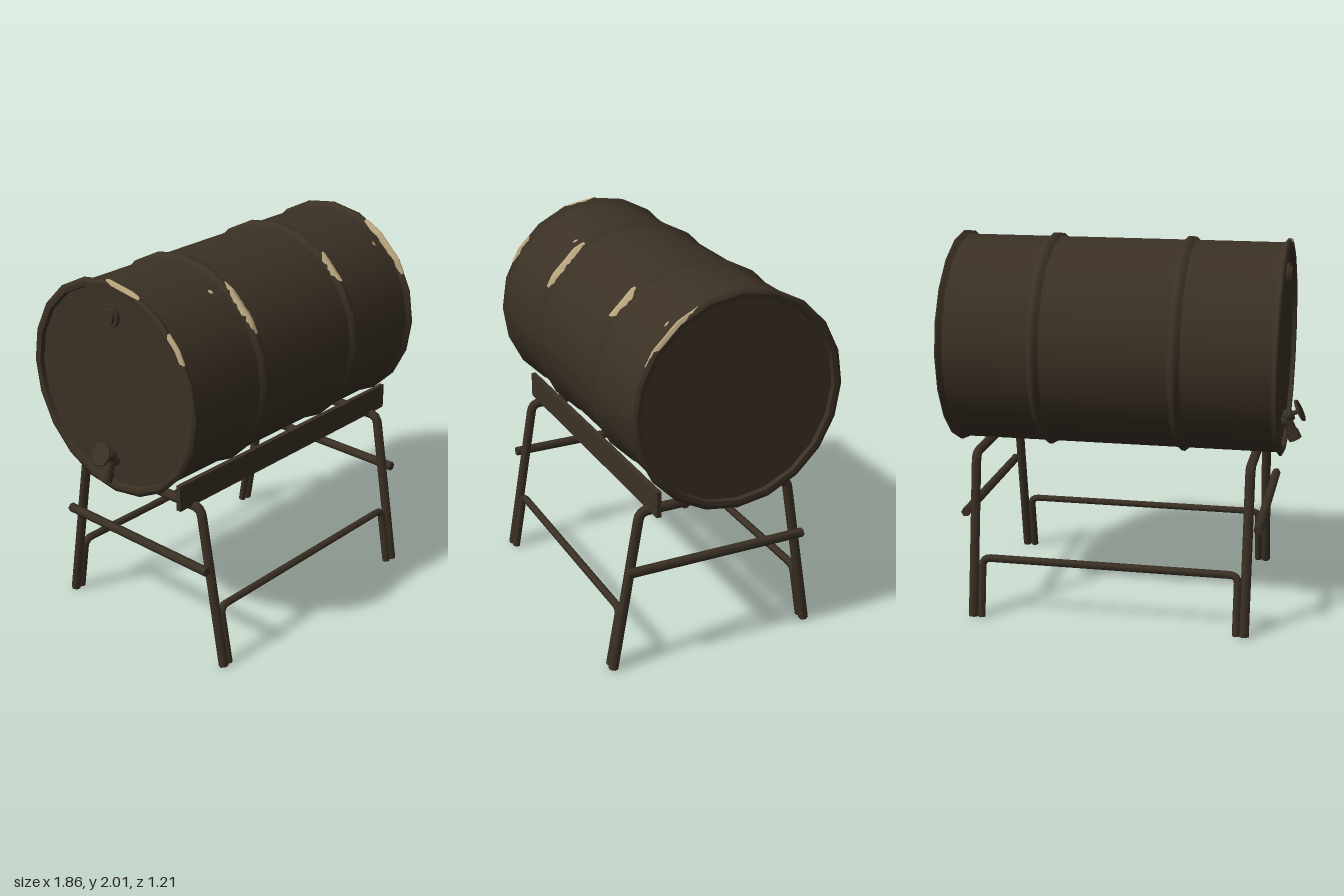
import * as THREE from 'three';

const V = (x, y, z) => new THREE.Vector3(x, y, z);
const AXIS_Y = 1.433, AXIS_Z = -0.03, SIDES = 20;
const BODY = 0.553, RIB = 0.572;

// Outer profile of the drum as [x, radius]
const rib = (x) => [[x - 0.034, BODY], [x - 0.028, BODY + 0.002], [x - 0.009, RIB], [x + 0.009, RIB], [x + 0.028, BODY + 0.002], [x + 0.034, BODY]];
const PROFILE = [
  [-0.833, 0.552], [-0.825, RIB], [-0.815, RIB], [-0.798, BODY], [-0.79, BODY],
  ...rib(-0.308), ...rib(0.415),
  [0.885, BODY], [0.893, BODY], [0.91, RIB], [0.92, RIB], [0.927, 0.552],
];

function radiusAt(x) {
  for (let i = 1; i < PROFILE.length; i++) {
    const [x0, r0] = PROFILE[i - 1], [x1, r1] = PROFILE[i];
    if (x <= x1) return r0 + (r1 - r0) * Math.max(0, (x - x0) / (x1 - x0));
  }
  return PROFILE[PROFILE.length - 1][1];
}

export function createModel() {
  const model = new THREE.Group();
  const steel = new THREE.MeshStandardMaterial({ color: 0x3b3125 });
  steel.name = 'darkBrownSteel';
  const bare = new THREE.MeshStandardMaterial({ color: 0xb8a57e, side: THREE.DoubleSide });
  bare.name = 'tanChippedPaint';

  const add = (name, geo, mat = steel, parent = model) => {
    const mesh = new THREE.Mesh(geo, mat);
    mesh.name = name;
    parent.add(mesh);
    return mesh;
  };

  // Cylinder between two points
  const rod = (name, a, b, r0, r1, sides, parent) => {
    const mesh = add(name, new THREE.CylinderGeometry(r1, r0, a.distanceTo(b), sides), steel, parent);
    mesh.position.copy(a).add(b).multiplyScalar(0.5);
    mesh.quaternion.setFromUnitVectors(V(0, 1, 0), b.clone().sub(a).normalize());
    return mesh;
  };

  // Bent tube with rounded corners and closed ends
  const bentTube = (name, pts, radius, bend) => {
    const path = new THREE.CurvePath();
    let from = pts[0];
    for (let i = 1; i < pts.length - 1; i++) {
      const p = pts[i];
      const a = p.clone().add(pts[i - 1].clone().sub(p).setLength(bend));
      const b = p.clone().add(pts[i + 1].clone().sub(p).setLength(bend));
      path.add(new THREE.LineCurve3(from, a));
      path.add(new THREE.QuadraticBezierCurve3(a, p, b));
      from = b;
    }
    const last = pts[pts.length - 1];
    path.add(new THREE.LineCurve3(from, last));
    const group = new THREE.Group();
    group.name = name;
    model.add(group);
    add(name + 'Tube', new THREE.TubeGeometry(path, 120, radius, 6, false), steel, group);
    for (const [end, next] of [[pts[0], pts[1]], [last, pts[pts.length - 2]]]) {
      const cap = add(name + 'End', new THREE.CircleGeometry(radius, 6), steel, group);
      cap.position.copy(end);
      cap.quaternion.setFromUnitVectors(V(0, 0, 1), end.clone().sub(next).normalize());
    }
  };

  // Drum shell, rolled rims and recessed ends
  const drum = new THREE.Group();
  drum.name = 'drum';
  drum.position.set(0, AXIS_Y, AXIS_Z);
  model.add(drum);
  const lathe = (name, pts) => {
    const geo = new THREE.LatheGeometry(pts.map(([x, r]) => new THREE.Vector2(r, x)), SIDES);
    add(name, geo.rotateZ(-Math.PI / 2), steel, drum);
  };
  lathe('drumShell', PROFILE);
  lathe('rightRimFace', [[-0.831, 0.53], [-0.833, 0.552]]);
  lathe('rightRimLip', [[-0.808, 0.525], [-0.831, 0.53]]);
  lathe('rightEnd', [[-0.808, 0], [-0.808, 0.525]]);
  lathe('leftRimFace', [[0.927, 0.552], [0.925, 0.53]]);
  lathe('leftRimLip', [[0.925, 0.53], [0.902, 0.525]]);
  lathe('leftEnd', [[0.902, 0.525], [0.902, 0]]);

  // Filler plug in the right end
  rod('fillerPlug', V(-0.805, 1.82, AXIS_Z), V(-0.828, 1.82, AXIS_Z), 0.06, 0.06, 12);
  rod('fillerPlugCap', V(-0.825, 1.82, AXIS_Z), V(-0.842, 1.82, AXIS_Z), 0.045, 0.042, 8);

  // Tap with slanted hand wheel and spout
  const tap = new THREE.Group();
  tap.name = 'tap';
  model.add(tap);
  const tz = -0.042;
  rod('tapInlet', V(-0.8, 1.035, tz), V(-0.85, 1.035, tz), 0.035, 0.032, 8, tap);
  rod('tapBody', V(-0.825, 1.07, tz), V(-0.868, 0.975, tz), 0.028, 0.028, 8, tap);
  rod('tapSpout', V(-0.862, 0.985, tz), V(-0.885, 0.937, tz), 0.035, 0.037, 8, tap);
  rod('tapBonnet', V(-0.83, 1.06, tz), V(-0.865, 1.078, tz), 0.036, 0.032, 8, tap);
  rod('tapStem', V(-0.85, 1.07, tz), V(-0.902, 1.096, tz), 0.013, 0.013, 6, tap);
  rod('tapWheel', V(-0.897, 1.0935, tz), V(-0.909, 1.0995, tz), 0.062, 0.062, 8, tap);

  // Trestles: splayed legs joined over the top, with a cross bar outside each
  for (const [x, barX] of [[-0.685, -0.74], [0.775, 0.82]]) {
    bentTube('trestle', [V(x, 0, 0.59), V(x, 0.875, 0.437), V(x, 0.875, -0.397), V(x, 0, -0.543)], 0.026, 0.045);
    const bar = rod('crossBar', V(barX, 0.565, -0.48), V(barX, 0.565, 0.528), 0.025, 0.025, 6);
    bar.geometry.rotateY(Math.PI / 2);
  }

  // Long braces, front and back, running beside the legs
  for (const [footZ, topZ] of [[0.588, 0.531], [-0.541, -0.489]]) {
    bentTube('longBrace', [V(-0.643, 0, footZ), V(-0.643, 0.317, topZ), V(0.73, 0.317, topZ), V(0.73, 0, footZ)], 0.021, 0.045);
  }

  // Stop plate along the front
  add('stopPlate', new THREE.BoxGeometry(1.675, 0.138, 0.026)).position.set(0.048, 0.951, 0.384);

  // Chipped paint: ragged thin patches hugging the shell.
  // x centre, half width, start and end angle from the top toward the front (degrees)
  let seed = 7;
  const rand = () => (seed = (seed * 16807) % 2147483647) / 2147483647;
  const patch = (cx, half, from, to) => {
    const rows = Math.max(4, Math.round((to - from) / 2)), cols = 8, step = Math.PI * 2 / SIDES;
    const pos = [], index = [];
    for (let i = 0; i <= rows; i++) {
      const t = i / rows, phi = THREE.MathUtils.degToRad(from + (to - from) * t);
      const taper = Math.pow(Math.sin(Math.PI * (0.04 + 0.92 * t)), 0.5);
      const x0 = Math.max(-0.833, cx - half * taper * (0.6 + 0.5 * rand()));
      const x1 = Math.min(0.927, cx + half * taper * (0.6 + 0.5 * rand()));
      const facet = Math.cos(step / 2) / Math.cos((((phi % step) + step) % step) - step / 2);
      for (let j = 0; j <= cols; j++) {
        const x = x0 + (x1 - x0) * j / cols, r = radiusAt(x) * facet + 0.004;
        pos.push(x, r * Math.cos(phi), r * Math.sin(phi));
        if (i < rows && j < cols) {
          const a = i * (cols + 1) + j, b = a + cols + 1;
          index.push(a, b, a + 1, b, b + 1, a + 1);
        }
      }
    }
    const geo = new THREE.BufferGeometry();
    geo.setAttribute('position', new THREE.Float32BufferAttribute(pos, 3));
    geo.setIndex(index);
    geo.computeVertexNormals();
    add('paintChip', geo, bare, drum);
  };
  patch(-0.303, 0.032, 30, 61);
  patch(0.418, 0.034, 34, 53);
  patch(0.908, 0.026, 24, 62);
  patch(-0.82, 0.022, 45, 62);
  patch(-0.825, 0.015, -1, 22);
  patch(-0.413, 0.012, 30, 33);
  patch(0.83, 0.01, 38, 41);
  return model;
}
